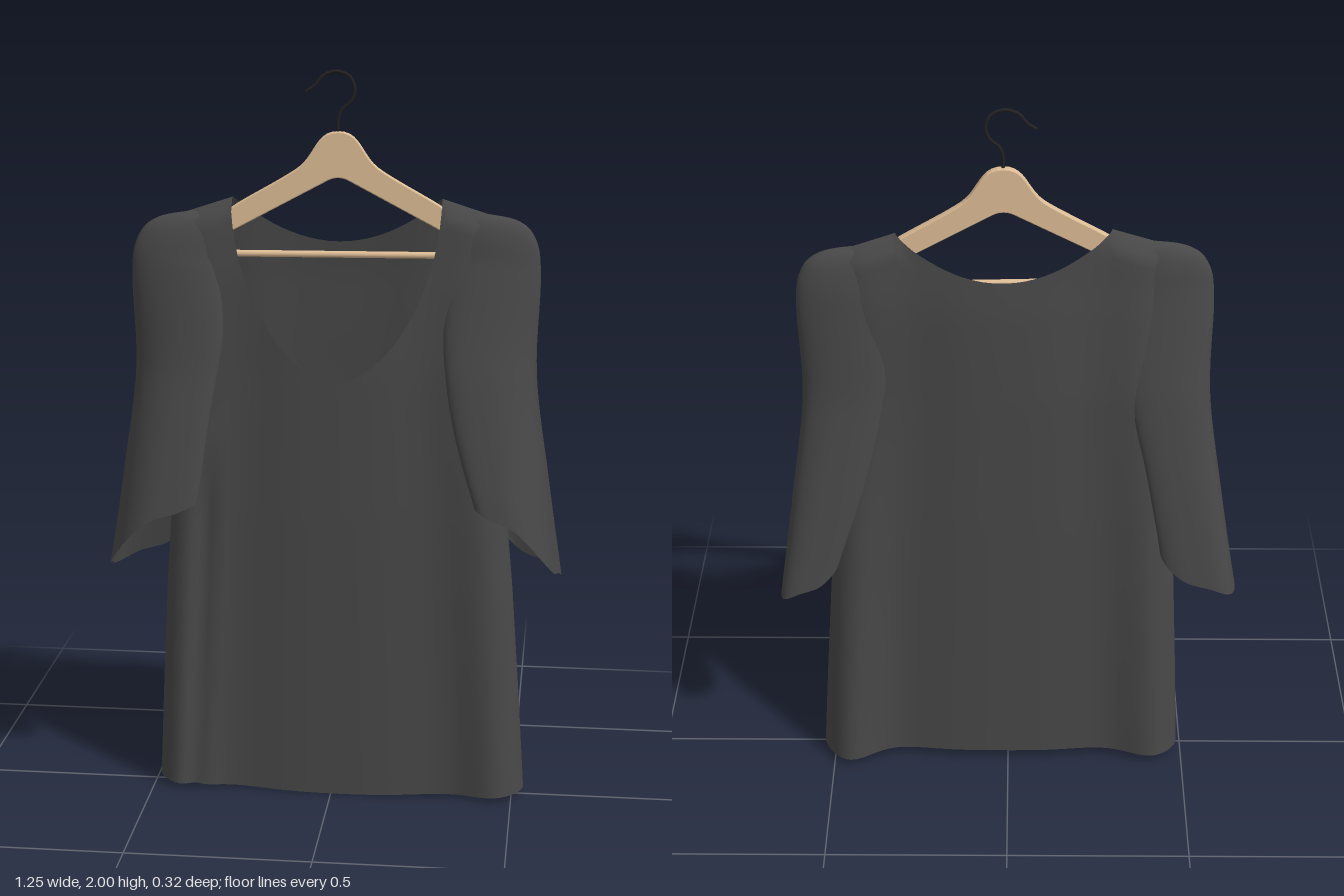
import * as THREE from 'three';

const cloth = new THREE.MeshStandardMaterial({ color: 0x484848, side: THREE.DoubleSide });
cloth.name = 'charcoal cloth';
const wood = new THREE.MeshStandardMaterial({ color: 0xdebd96 });
wood.name = 'pale wood';
const metal = new THREE.MeshStandardMaterial({ color: 0x222222 });
metal.name = 'dark metal';

const { lerp, clamp } = THREE.MathUtils;

function mesh(name, geometry, material) {
  const m = new THREE.Mesh(geometry, material);
  m.name = name;
  return m;
}

// Smooth sheet through point(i, j); a closed sheet joins its last column to its first
function sheet(cols, rows, point, closed = false, flip = false) {
  const pos = [], idx = [], n = closed ? cols : cols + 1;
  for (let j = 0; j <= rows; j++) for (let i = 0; i < n; i++) pos.push(...point(i, j));
  for (let j = 0; j < rows; j++) for (let i = 0; i < cols; i++) {
    const k = (i + 1) % n;
    const a = j * n + i, b = j * n + k, c = a + n, d = b + n;
    if (flip) idx.push(a, d, b, a, c, d);
    else idx.push(a, b, d, a, d, c);
  }
  const g = new THREE.BufferGeometry();
  g.setAttribute('position', new THREE.Float32BufferAttribute(pos, 3));
  g.setIndex(idx);
  g.computeVertexNormals();
  return g;
}

// Linear lookup in a list of [y, value] rows
function lookup(rows, y) {
  for (let i = 1; i < rows.length; i++) {
    const [a, va] = rows[i - 1], [b, vb] = rows[i];
    if (y <= b) return lerp(va, vb, clamp((y - a) / (b - a), 0, 1));
  }
  return rows[rows.length - 1][1];
}

const hump = (v, centre, width) => Math.exp(-(((v - centre) / width) ** 2));

// The shoulders follow the slight turn of the hanger
const turn = (x, y) => -0.045 * x * clamp((y - 1.2) / 0.3, 0, 1);

const halfWidth = [[0, 0.512], [0.3, 0.495], [0.6, 0.476], [0.85, 0.455], [1.18, 0.42], [1.7, 0.415]];
const halfDepth = [[0, 0.07], [0.8, 0.07], [1.18, 0.066], [1.45, 0.058], [1.6, 0.045], [1.66, 0.038]];
const NECK = 2 / 3; // share of the half width taken by the neckline

// Columns crowd together towards the neck corners, where the edge is steep
const columns = [];
for (let k = -16; k <= 16; k++) columns.push(Math.sin((k / 16) * Math.PI / 2) * NECK);
for (let k = 1; k <= 14; k++) {
  const s = NECK + (1 - NECK) * Math.sin((k / 14) * Math.PI / 2);
  columns.push(s);
  columns.unshift(-s);
}

// Front (dir 1) or back (dir -1) of the body
function bodyPanel(dir) {
  const rows = 48;
  return sheet(columns.length - 1, rows, (i, j) => {
    const s = columns[i], a = Math.abs(s), q = Math.min(1, a / NECK);
    const shoulder = 1.665 - 0.045 * Math.max(0, (a - NECK) / (1 - NECK));
    let top = shoulder;
    if (a < NECK - 1e-6) {
      top = dir > 0
        ? 1.18 + 0.485 * (1 - Math.pow(1 - Math.pow(q, 1.8), 0.55))
        : 1.54 + 0.125 * q * q;
    }
    const hem = dir > 0 ? 0.003 + 0.018 * s * s : 0.03 - 0.009 * s * s;
    const y = lerp(hem, top, j / rows);
    const low = clamp(1 - y / 1.1, 0, 1);
    const x = 0.01 + 0.012 * low + s * lookup(halfWidth, y);
    const round = Math.sqrt(Math.max(0, 1 - a ** 8));
    const close = Math.sqrt(clamp((shoulder - y) / 0.035, 0, 1));
    // The cloth swells at the middle, dips beside it and flares at the lower sides
    const dip = 1 - 0.27 * hump(a, 0.58, 0.25);
    const flare = (dir < 0 && s > 0 ? 0.065 : 0.035) * low * round * hump(a, 0.87, 0.17);
    let z = -0.01 + turn(x, y) + dir * (lookup(halfDepth, y) * round * close * dip + flare);
    if (dir > 0) z -= 0.02 * clamp((1 - y) / 0.2, 0, 1) * hump(x, 0.05 * y - 0.385, 0.025);
    return [x, y, z];
  }, false, dir < 0);
}

// Wide sleeve: rings from the shoulder down to a slanted open cuff
function sleeve(side) {
  const left = side > 0;
  const cuffIn = left ? 0.39 : 0.345;
  const v = (x, y) => new THREE.Vector2(x, y);
  const span = new THREE.SplineCurve([ // outer and inner x
    v(0.39, 0.34), v(0.475, 0.305), v(0.523, 0.295), v(0.542, 0.285),
    v(0.538, 0.27), v(0.575, 0.31), v(left ? 0.61 : 0.615, cuffIn),
  ]);
  const fall = new THREE.SplineCurve([ // height and half depth
    v(1.628, 0.001), v(1.61, 0.022), v(1.565, 0.037), v(1.47, 0.048),
    v(1.24, 0.074), v(0.98, 0.112), v(0.735, 0.146),
  ]);
  const rows = 42, cols = 64;
  return sheet(cols, rows, (i, j) => {
    const t = j / rows, th = (i / cols) * Math.PI * 2;
    const c = Math.cos(th), n = Math.sin(th);
    const { x: outer, y: inner } = span.getPoint(t);
    const { x: height, y: depth } = fall.getPoint(t);
    const slant = clamp((t - 0.45) / 0.5, 0, 1);
    const e = lerp(1, 0.65, slant);
    const bend = (w) => Math.sign(w) * Math.abs(w) ** e;
    // The inner wall is hollowed to pass around the body, and the front leans inwards
    const hollow = 0.12 * slant * Math.max(0, -c) ** 7;
    const lean = 0.045 * slant * n;
    const x = side * ((outer + inner) / 2 + bend(c) * (outer - inner) / 2 + hollow - lean) + 0.012 * (1 - t);
    const y = height + slant * (-0.09 * c + 0.09 * n);
    const z = -0.006 + turn(x, y) + t * t * (left ? -0.01 : 0.02) + bend(n) * depth;
    return [x, y, z];
  }, true, !left);
}

function hanger() {
  const g = new THREE.Group();
  g.name = 'hanger';

  // Wooden yoke with sloping arms
  const s = new THREE.Shape();
  s.moveTo(0, 1.84);
  s.bezierCurveTo(0.06, 1.84, 0.06, 1.78, 0.105, 1.745);
  s.bezierCurveTo(0.15, 1.712, 0.25, 1.662, 0.28, 1.64);
  s.lineTo(0.39, 1.57);
  s.quadraticCurveTo(0.42, 1.54, 0.39, 1.52);
  s.lineTo(0.27, 1.582);
  s.lineTo(0.03, 1.71);
  s.quadraticCurveTo(0, 1.727, -0.03, 1.71);
  s.lineTo(-0.27, 1.582);
  s.lineTo(-0.39, 1.52);
  s.quadraticCurveTo(-0.42, 1.54, -0.39, 1.57);
  s.lineTo(-0.28, 1.64);
  s.bezierCurveTo(-0.25, 1.662, -0.15, 1.712, -0.105, 1.745);
  s.bezierCurveTo(-0.06, 1.78, -0.06, 1.84, 0, 1.84);
  const yoke = new THREE.ExtrudeGeometry(s, {
    depth: 0.014, bevelEnabled: true, bevelThickness: 0.004, bevelSize: 0.003,
    bevelOffset: -0.003, bevelSegments: 2, curveSegments: 10,
  });
  yoke.translate(0, 0, -0.007);
  g.add(mesh('yoke', yoke, wood));

  const bar = new THREE.CylinderGeometry(0.009, 0.009, 0.76, 10);
  bar.rotateZ(Math.PI / 2);
  bar.translate(0, 1.515, 0);
  g.add(mesh('trouserBar', bar, wood));

  // Wire hook
  const path = new THREE.CatmullRomCurve3([
    [0, 1.82], [0, 1.87], [0.008, 1.895], [0.034, 1.92], [0.043, 1.95], [0.03, 1.982],
    [-0.005, 1.996], [-0.04, 1.984], [-0.06, 1.96], [-0.084, 1.943],
  ].map(([x, y]) => new THREE.Vector3(x, y, 0)));
  g.add(mesh('hook', new THREE.TubeGeometry(path, 60, 0.0043, 8), metal));

  g.position.set(0.013, 0, -0.007);
  g.rotation.y = 0.045;
  return g;
}

export function createModel() {
  const model = new THREE.Group();
  model.name = 'shirtOnHanger';
  const shirt = new THREE.Group();
  shirt.name = 'shirt';
  shirt.add(
    mesh('frontPanel', bodyPanel(1), cloth),
    mesh('backPanel', bodyPanel(-1), cloth),
    mesh('leftSleeve', sleeve(1), cloth),
    mesh('rightSleeve', sleeve(-1), cloth),
  );
  model.add(shirt, hanger());
  return model;
}
